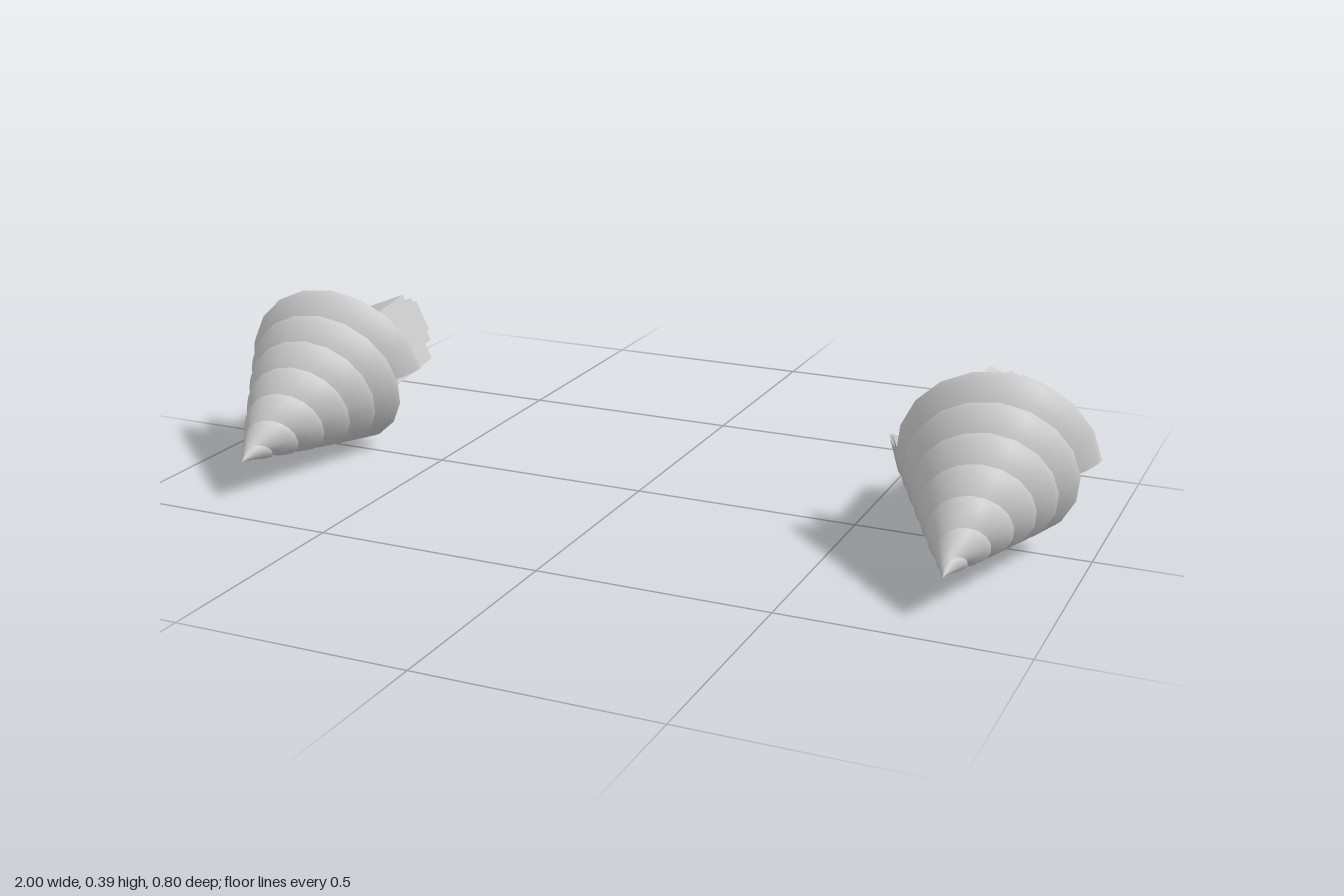
import * as THREE from 'three';

const LENGTH = 0.454;   // tip to the rearmost blade end, along the axis
const LEAD = 0.13;      // axial advance per turn of each blade
const SLOPE = 0.477;    // cone radius per unit of length
const SIDES = 18;       // segments per turn
// blade cross-section, front to rear: [position across the band, radial offset]
const BAND = [[0, -0.006], [0.2, 0], [0.45, 0.004], [0.7, 0.005], [0.92, 0.004], [1, -0.003]];

const material = new THREE.MeshStandardMaterial({ color: 0xcccccc, side: THREE.DoubleSide });
const flatMaterial = new THREE.MeshStandardMaterial({ color: 0xcccccc, flatShading: true });

function named(geometry, mat, name) {
  const mesh = new THREE.Mesh(geometry, mat);
  mesh.name = name;
  return mesh;
}

function buildGeometry(positions, indices) {
  const g = new THREE.BufferGeometry();
  g.setAttribute('position', new THREE.Float32BufferAttribute(positions, 3));
  g.setIndex(indices);
  g.computeVertexNormals();
  return g;
}

// Point on a blade: rim is the axial distance of the band's rear edge from the tip
function bladePoint(rim, [t, offset], startAngle) {
  const s = Math.max(0, rim - (LEAD / 2) * (1 - t));
  const r = Math.max(0, SLOPE * s + offset * Math.min(1, s / 0.1));
  const a = startAngle + ((LENGTH - rim) / LEAD) * Math.PI * 2;
  return [r * Math.cos(a), r * Math.sin(a), -s];
}

// One of the two conical bands wound around the axis
function bladeGeometry(startAngle) {
  const steps = Math.round((LENGTH / LEAD) * SIDES);
  const n = BAND.length;
  const positions = [], indices = [];
  for (let i = 0; i <= steps; i++) {
    for (const row of BAND) positions.push(...bladePoint((LENGTH * i) / steps, row, startAngle));
  }
  for (let i = 0; i < steps; i++) {
    for (let j = 0; j < n - 1; j++) {
      const a = i * n + j, b = a + n;
      indices.push(a, b, a + 1, b, b + 1, a + 1);
    }
  }
  return buildGeometry(positions, indices);
}

// Slightly hollow back, following the rear rims of both bands and their steps
function backGeometry() {
  const positions = [0, 0, -(LENGTH - LEAD / 4 - 0.015)], indices = [];
  const half = SIDES / 2;
  for (const start of [0, Math.PI]) {
    for (let i = 0; i <= half; i++) {
      const rim = LENGTH - (LEAD / 2) * (1 - i / half);
      positions.push(...bladePoint(rim, BAND[BAND.length - 1], start));
    }
  }
  const count = positions.length / 3 - 1;
  for (let i = 0; i < count; i++) indices.push(0, 1 + i, 1 + ((i + 1) % count));
  return buildGeometry(positions, indices);
}

function createDrill() {
  const drill = new THREE.Group();
  [0, Math.PI].forEach((start) => drill.add(named(bladeGeometry(start), material, 'spiralBlade')));
  drill.add(named(backGeometry(), material, 'drillBack'));
  drill.rotation.set(0.262, 0.05, 0, 'YXZ');
  return drill;
}

// Stepped rectangular shank: [relative size, distance along the axis]
function createShank() {
  const profile = [
    [0, -0.27], [1, -0.27], [1, 0], [0.67, 0], [0.67, 0.08],
    [0.46, 0.1], [0.46, 0.127], [0.2, 0.155], [0, 0.155],
  ].map(([size, y]) => new THREE.Vector2(size * Math.SQRT1_2, y));
  const g = new THREE.LatheGeometry(profile, 4, Math.PI / 4);
  g.rotateX(-Math.PI / 2);
  g.scale(0.21, 0.17, 1);
  return named(g, flatMaterial, 'shank');
}

export function createModel() {
  const model = new THREE.Group();
  const pairs = [
    { name: 'leftDrill', tipX: 0.8, shankX: 0.778, side: 1 },
    { name: 'rightDrill', tipX: -0.767, shankX: -0.795, side: -1 },
  ];
  for (const { name, tipX, shankX, side } of pairs) {
    const unit = new THREE.Group();
    unit.name = name;
    // the spirals wind the same way, the shanks are mirrored
    const drill = createDrill();
    drill.name = 'drillCone';
    drill.position.set(tipX, 0.095, 0.4);
    const shank = createShank();
    shank.position.set(shankX, 0.206, -0.242);
    shank.rotation.set(0.1, -0.05 * side, -0.39 * side, 'YXZ');
    unit.add(drill, shank);
    model.add(unit);
  }
  return model;
}
